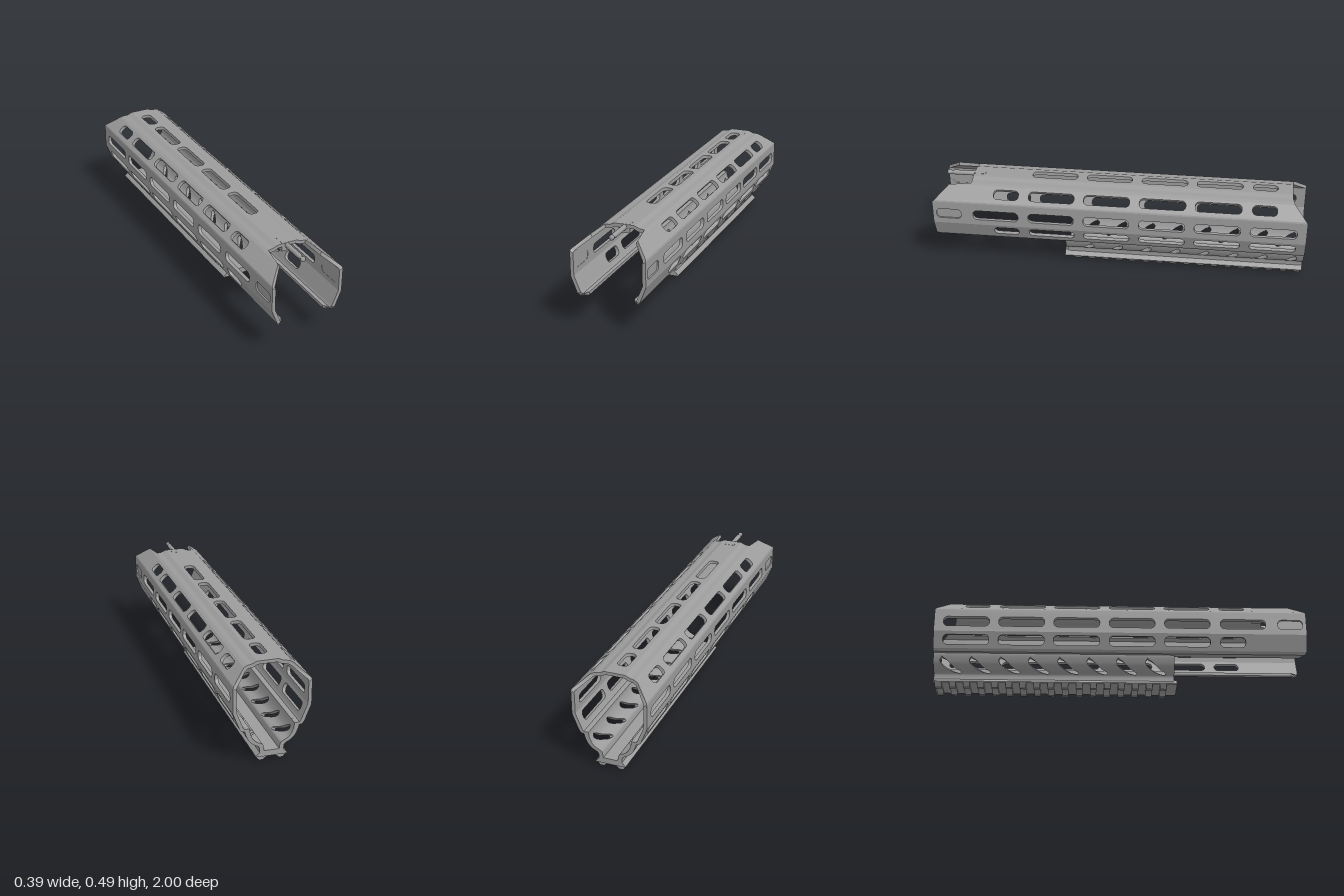
import * as THREE from 'three';

const metal = new THREE.MeshStandardMaterial({ color: 0x9c9c9c });
metal.name = 'grey metal';

// Half cross-section of the upper shell: outer x, y, inner x, y, front z, back z
const PROFILE = [
  [0.053, 0.487, 0.048, 0.470, 0.80, -0.92],
  [0.078, 0.476, 0.072, 0.458, 0.80, -0.92],
  [0.105, 0.473, 0.100, 0.456, 0.80, -0.925],
  [0.122, 0.466, 0.113, 0.449, 0.92, -0.93],
  [0.193, 0.405, 0.178, 0.394, 0.99, -0.995],
  [0.196, 0.397, 0.178, 0.388, 1.00, -1],
  [0.196, 0.268, 0.178, 0.272, 1.00, -1],
  [0.162, 0.182, 0.144, 0.189, 1.00, -1],
  [0.150, 0.168, 0.138, 0.180, 0.99, -1],
  [0.118, 0.164, 0.118, 0.180, 0.96, -1],
];

const LONG = [[0.235, 0.48], [-0.062, 0.183], [-0.36, -0.114], [-0.655, -0.41]];

const lerp = THREE.MathUtils.lerp;

function mirrored(geometry) {
  const g = geometry.clone().applyMatrix4(new THREE.Matrix4().makeScale(-1, 1, 1));
  const n = g.attributes.position.count;
  const index = g.index ? Array.from(g.index.array) : Array.from({ length: n }, (_, i) => i);
  g.setIndex(index.reverse());
  return g;
}

function add(group, name, geometry, x = 0, y = 0, z = 0) {
  const mesh = new THREE.Mesh(geometry, metal);
  mesh.name = name;
  mesh.position.set(x, y, z);
  group.add(mesh);
  return mesh;
}

function addPair(group, name, geometry) {
  add(group, name + 'Left', geometry);
  add(group, name + 'Right', mirrored(geometry));
}

function slotPath(x0, x1, y0, y1) {
  const r = Math.min(x1 - x0, y1 - y0) * 0.42, p = new THREE.Path();
  p.absarc(x1 - r, y1 - r, r, 0, Math.PI / 2);
  p.absarc(x0 + r, y1 - r, r, Math.PI / 2, Math.PI);
  p.absarc(x0 + r, y0 + r, r, Math.PI, Math.PI * 1.5);
  p.absarc(x1 - r, y0 + r, r, Math.PI * 1.5, Math.PI * 2);
  p.closePath();
  return p;
}

// Flat wall between two profile points, with rounded slots; u0, u1 are fractions of its width
function panel(a, b, slots = [], u0 = 0, u1 = 1) {
  const L = Math.hypot(b[0] - a[0], b[1] - a[1]);
  const shape = new THREE.Shape([[0, a[5]], [L, b[5]], [L, b[4]], [0, a[4]]]
    .map(([x, y]) => new THREE.Vector2(x, y)));
  for (const [z0, z1] of slots) shape.holes.push(slotPath(u0 * L, u1 * L, z0, z1));
  const g = new THREE.ExtrudeGeometry(shape, { depth: 1, bevelEnabled: false, curveSegments: 5 });
  const p = g.attributes.position;
  for (let i = 0; i < p.count; i++) {
    const u = p.getX(i) / L, z = p.getY(i), t = p.getZ(i);
    p.setXYZ(i,
      lerp(lerp(a[0], b[0], u), lerp(a[2], b[2], u), t),
      lerp(lerp(a[1], b[1], u), lerp(a[3], b[3], u), t), z);
  }
  g.computeVertexNormals();
  return g;
}

// Prism along z from a symmetric half outline (x >= 0)
function prism(half, z0, z1, hole) {
  const all = [...half, ...half.slice().reverse().filter(p => p[0] > 0).map(([x, y]) => [-x, y])];
  const shape = new THREE.Shape(all.map(([x, y]) => new THREE.Vector2(x, y)));
  if (hole) shape.holes.push(new THREE.Path(hole.map(([x, y]) => new THREE.Vector2(x, y))));
  const g = new THREE.ExtrudeGeometry(shape, { depth: z1 - z0, bevelEnabled: false });
  return g.translate(0, 0, z0);
}

// Curved lower wall, made of ribs whose edges leave slanted slots between them
const curve = pts => new THREE.SplineCurve(pts.map(([x, y]) => new THREE.Vector2(x, y)));
const OUTER = curve([[0.136, 0.18], [0.134, 0.155], [0.118, 0.118], [0.1, 0.098],
  [0.086, 0.088], [0.07, 0.08], [0.062, 0.068], [0.06, 0.04]]);
const INNER = curve([[0.112, 0.18], [0.109, 0.155], [0.098, 0.127], [0.085, 0.11],
  [0.07, 0.1], [0.05, 0.09], [0.042, 0.078], [0.036, 0.04]]);
const SLOTS = 8;

function slotEdge(i, u, side) {
  if (i < 0) return 0.29;
  if (i >= SLOTS) return -1;
  const s = THREE.MathUtils.clamp((u - 0.46) / 0.27, -1, 1);
  return 0.19 - 0.157 * i + 0.045 * s + side * 0.025 * Math.sqrt(1 - s ** 4);
}

function rib(i) {
  const g = new THREE.BoxGeometry(1, 1, 1, 36, 1, 1), p = g.attributes.position;
  for (let k = 0; k < p.count; k++) {
    const u = p.getX(k) + 0.5;
    const q = (p.getY(k) > 0 ? OUTER : INNER).getPoint(u);
    p.setXYZ(k, q.x, q.y, p.getZ(k) > 0 ? slotEdge(i - 1, u, -1) : slotEdge(i, u, 1));
  }
  g.computeVertexNormals();
  return g;
}

export function createModel() {
  const model = new THREE.Group();
  model.name = 'slottedHandguard';

  // Upper shell
  const shell = new THREE.Group();
  shell.name = 'upperShell';
  model.add(shell);
  const p0 = PROFILE[0];
  const m0 = [-p0[0], p0[1], -p0[2], p0[3], p0[4], p0[5]];
  add(shell, 'topPanel', panel(m0, p0, [...LONG, [-0.84, -0.71]], 0.22, 0.78));
  const cuts = {
    3: [[...LONG, [0.535, 0.67], [-0.84, -0.71]], 0.16, 0.74],
    5: [[...LONG, [0.535, 0.78], [-0.95, -0.705], [0.845, 0.98]], 0.33, 0.76],
    6: [[...LONG, [0.535, 0.67], [-0.95, -0.705]], 0.2, 0.77],
  };
  for (let i = 0; i < PROFILE.length - 1; i++) {
    addPair(shell, 'shellPanel' + i, panel(PROFILE[i], PROFILE[i + 1], ...(cuts[i] || [])));
  }
  // Closed floor of the front side pockets
  addPair(shell, 'pocketFloor', new THREE.BoxGeometry(0.009, 0.064, 0.14).translate(0.184, 0.327, 0.9125));

  // Front pin and its mounting block
  add(model, 'pinBlock', new THREE.BoxGeometry(0.054, 0.045, 0.06), 0, 0.4655, 0.768);
  const pin = new THREE.LatheGeometry([[0, 0], [0.013, 0], [0.013, 0.125], [0.009, 0.13],
    [0.009, 0.142], [0.013, 0.147], [0.013, 0.158], [0.009, 0.163], [0, 0.163]]
    .map(([x, y]) => new THREE.Vector2(x, y)), 16).rotateX(Math.PI / 2);
  add(model, 'frontPin', pin, 0, 0.473, 0.792);

  // Lower curved wall
  const lower = new THREE.Group();
  lower.name = 'lowerShell';
  model.add(lower);
  for (let i = 0; i <= SLOTS; i++) addPair(lower, 'curvedRib' + i, rib(i));

  // Accessory rail: base, front lip with a recess, cross teeth
  const rail = new THREE.Group();
  rail.name = 'rail';
  model.add(rail);
  const base = [[0, 0.022], [0.078, 0.022], [0.08, 0.027], [0.06, 0.046], [0.058, 0.052], [0, 0.052]];
  add(rail, 'railBase', prism(base, -1, 0.275));
  add(rail, 'railLip', prism(base, 0.275, 0.305,
    [[-0.019, 0.03], [-0.015, 0.047], [0.015, 0.047], [0.019, 0.03]]));
  const tooth = prism([[0, 0.018], [0.02, 0.015], [0.033, 0.008], [0.04, 0], [0.06, 0],
    [0.08, 0.024], [0, 0.024]], -0.0175, 0.0175);
  for (let i = 0; i < 17; i++) add(rail, 'railTooth' + i, tooth, 0, 0, 0.23 - i * 0.0752);

  return model;
}
